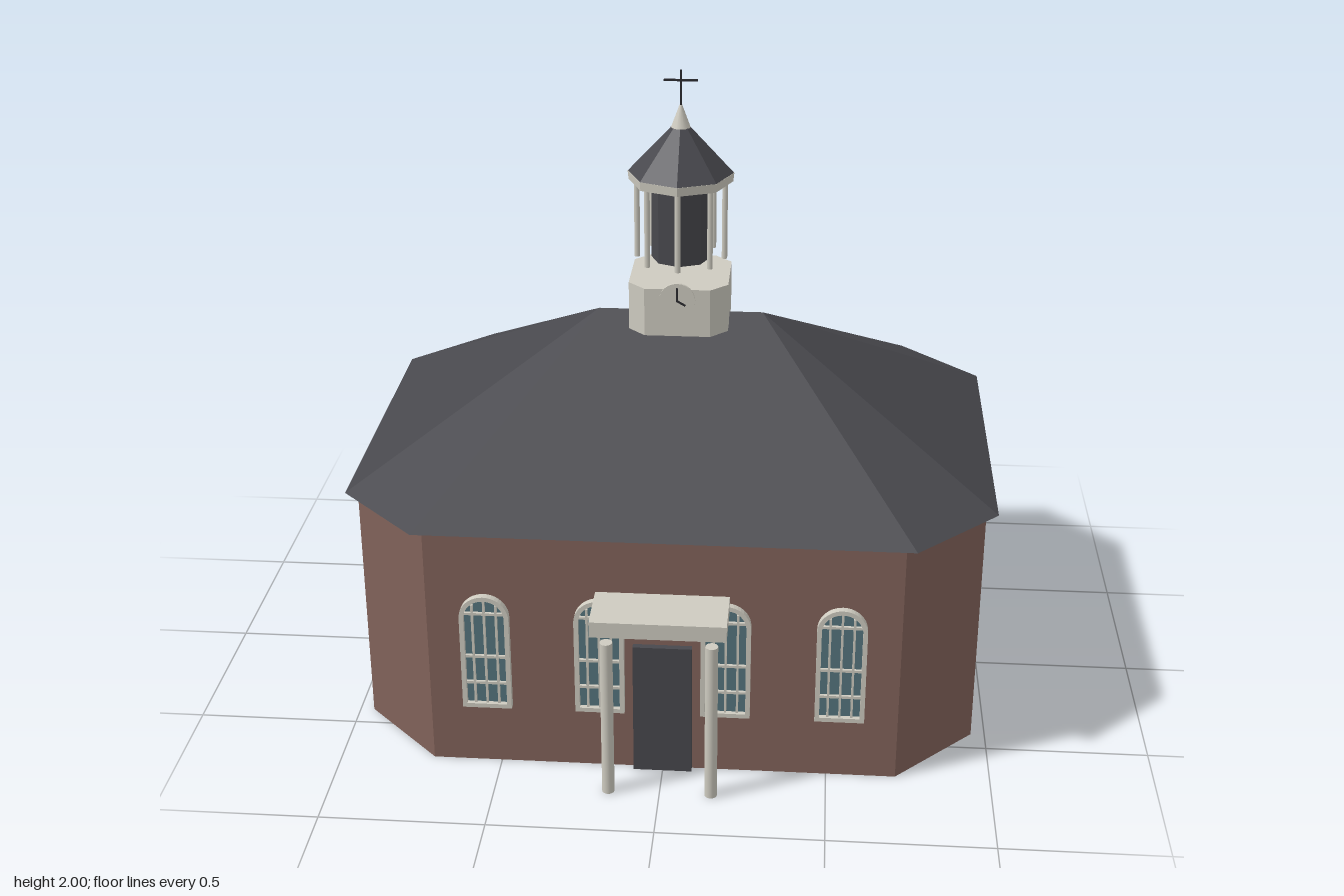
import * as THREE from 'three';
import { ConvexGeometry } from 'three/addons/geometries/ConvexGeometry.js';

const CZ = -0.07; // z of the building's centre line

export function createModel() {
  const mat = (name, color) => {
    const m = new THREE.MeshStandardMaterial({ color });
    m.name = name;
    return m;
  };
  const brick = mat('brick', 0x82635a);
  const slate = mat('slate', 0x48484d);
  const trim = mat('pale trim', 0xcecbc0);
  const glass = mat('window glass', 0x55757e);
  const iron = mat('dark iron', 0x2b2b2f);

  const root = new THREE.Group();
  root.name = 'chapel';
  const add = (parent, name, geo, material, x = 0, y = 0, z = 0) => {
    const m = new THREE.Mesh(geo, material);
    m.name = name;
    m.position.set(x, y, z);
    parent.add(m);
    return m;
  };
  const group = (name, x = 0, y = 0, z = 0) => {
    const g = new THREE.Group();
    g.name = name;
    g.position.set(x, y, z);
    root.add(g);
    return g;
  };
  const box = (w, h, d) => new THREE.BoxGeometry(w, h, d);
  const faceted = (geo) => {
    const g = geo.toNonIndexed();
    g.computeVertexNormals();
    return g;
  };

  // Rectangle in plan with its corners cut off
  const cutRect = (hx, hz, cut) => [
    [hx - cut, hz], [hx, hz - cut], [hx, cut - hz], [hx - cut, -hz],
    [cut - hx, -hz], [-hx, cut - hz], [-hx, hz - cut], [cut - hx, hz],
  ];
  const at = (plan, y) => plan.map(([x, z]) => new THREE.Vector3(x, y, z));
  const prism = (plan, y0, y1) => new ConvexGeometry([...at(plan, y0), ...at(plan, y1)]);

  // Walls and hipped roof
  add(root, 'walls', prism(cutRect(0.957, 0.74, 0.245), 0, 0.785), brick, 0, 0, CZ);
  const roofPoints = [...at(cutRect(0.992, 0.765, 0.25), 0.795), ...at([[-0.26, 0], [0.26, 0]], 1.22)];
  add(root, 'roof', new ConvexGeometry(roofPoints), slate, 0, 0, CZ);

  // Round-headed windows, standing on y = 0 of their own group
  const arch = (Type, half, bottom, top) => {
    const s = new Type();
    s.moveTo(-half, bottom);
    s.lineTo(half, bottom);
    s.lineTo(half, top - half);
    s.absarc(0, top - half, half, 0, Math.PI, false);
    s.lineTo(-half, bottom);
    return s;
  };
  const extrude = (shape, depth) =>
    new THREE.ExtrudeGeometry(shape, { depth, bevelEnabled: false, curveSegments: 10 });

  const frameShape = arch(THREE.Shape, 0.075, 0, 0.387);
  frameShape.holes.push(arch(THREE.Path, 0.061, 0.014, 0.373));
  const frameGeo = extrude(frameShape, 0.024);
  const paneGeo = extrude(arch(THREE.Shape, 0.068, 0.007, 0.38), 0.009);

  const addWindow = (x, side) => {
    const g = group('window', x, 0.203, CZ + side * 0.738);
    if (side < 0) g.rotation.y = Math.PI;
    add(g, 'windowFrame', frameGeo, trim);
    add(g, 'windowPane', paneGeo, glass);
    for (const bx of [-0.036, 0, 0.036]) {
      const h = bx ? 0.345 : 0.365;
      add(g, 'uprightBar', box(0.007, h, 0.01), trim, bx, 0.01 + h / 2, 0.013);
    }
    for (const by of [0.085, 0.177, 0.325])
      add(g, 'crossBar', box(by > 0.3 ? 0.124 : 0.13, 0.008, 0.01), trim, 0, by, 0.013);
  };
  for (const side of [1, -1])
    for (const x of [-0.535, -0.19, 0.19, 0.535]) addWindow(x, side);

  // Plain arched panes on the two end walls
  for (const side of [1, -1]) {
    const pane = add(root, 'endWindow', extrude(arch(THREE.Shape, 0.084, 0, 0.402), 0.009),
      glass, side * 0.956, 0.228, CZ);
    pane.rotation.y = side * Math.PI / 2;
  }

  // Door and porch
  add(root, 'door', box(0.178, 0.437, 0.03), slate, 0, 0.2185, 0.675);
  add(root, 'porchCanopy', box(0.4, 0.05, 0.18), trim, 0, 0.587, 0.755);
  for (const side of [1, -1])
    add(root, 'porchColumn', new THREE.CylinderGeometry(0.019, 0.019, 0.522, 16), trim,
      side * 0.155, 0.261, 0.804);

  // Tower drum with a clock on the front and the back
  const tower = group('tower', 0, 0, CZ);
  add(tower, 'drum', prism(cutRect(0.155, 0.155, 0.053), 1.195, 1.35), trim);
  for (const side of [1, -1]) {
    const clock = new THREE.Group();
    clock.name = 'clock';
    clock.position.set(0, 1.315, side * 0.157);
    if (side < 0) clock.rotation.y = Math.PI;
    tower.add(clock);
    const dial = add(clock, 'dial', new THREE.CylinderGeometry(0.056, 0.056, 0.008, 24), trim);
    dial.rotation.x = Math.PI / 2;
    add(clock, 'minuteHand', box(0.005, 0.044, 0.004), iron, 0, 0.02, 0.005);
    const hour = add(clock, 'hourHand', box(0.006, 0.032, 0.004), iron, 0.012, -0.007, 0.005);
    hour.rotation.z = Math.PI / 3;
  }

  // Eight-sided lantern
  const octagon = (rTop, rBottom, h) => faceted(new THREE.CylinderGeometry(rTop, rBottom, h, 8));
  add(tower, 'lanternCore', octagon(0.092, 0.092, 0.255), slate, 0, 1.5275, 0);
  for (let i = 0; i < 8; i++) {
    const a = i * Math.PI / 4;
    add(tower, 'lanternColumn', new THREE.CylinderGeometry(0.009, 0.009, 0.26, 10), trim,
      Math.sin(a) * 0.137, 1.53, Math.cos(a) * 0.137);
  }
  add(tower, 'lanternRing', octagon(0.165, 0.162, 0.028), trim, 0, 1.666, 0);
  add(tower, 'lanternRoof', octagon(0.026, 0.164, 0.147), slate, 0, 1.7535, 0);

  // Finial and cross
  add(tower, 'finial', new THREE.CylinderGeometry(0.004, 0.03, 0.07, 16), trim, 0, 1.857, 0);
  add(tower, 'crossUpright', box(0.006, 0.12, 0.006), iron, 0, 1.94, 0);
  add(tower, 'crossArm', box(0.104, 0.006, 0.006), iron, 0, 1.968, 0);

  return root;
}
